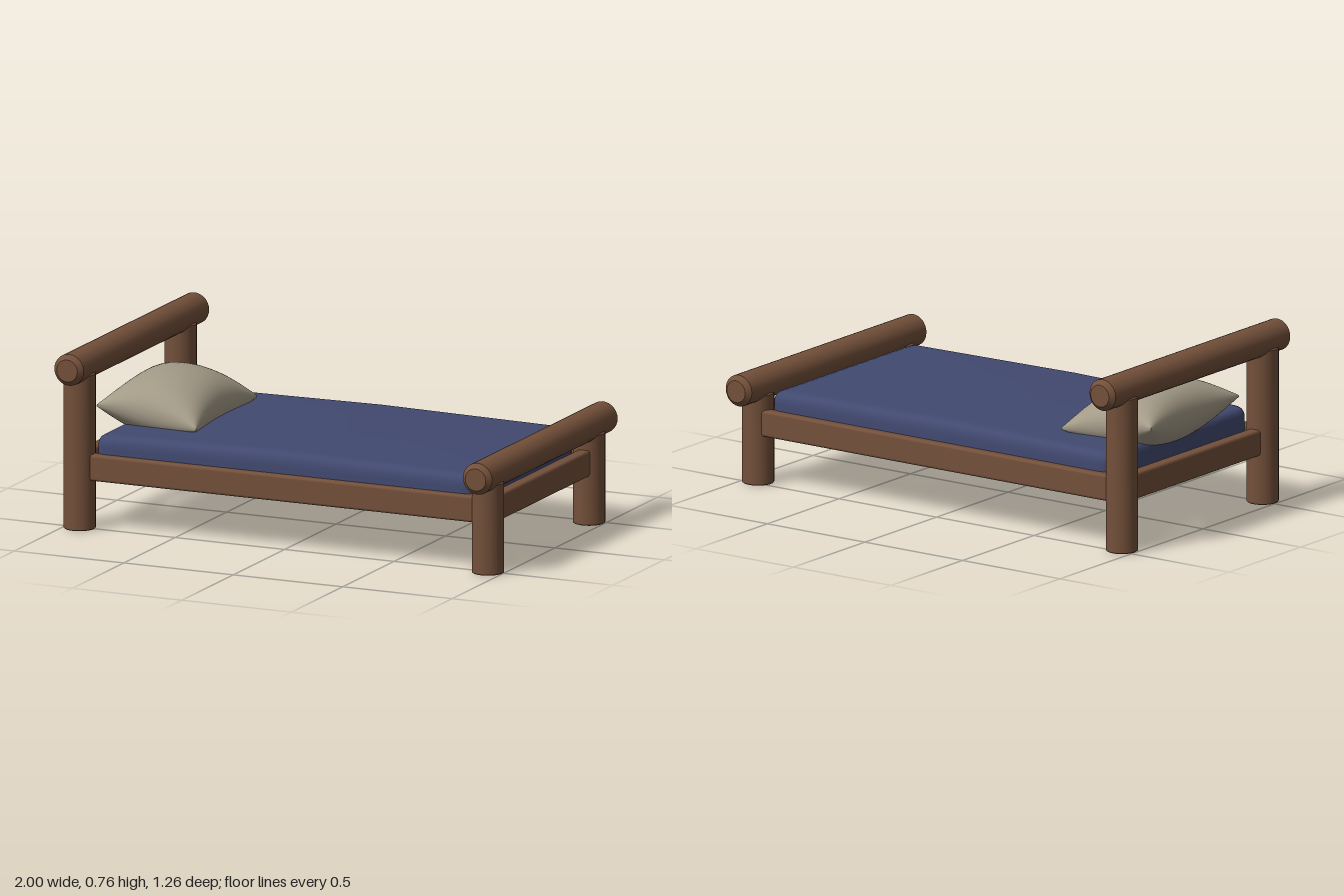
import * as THREE from 'three';
import { mergeVertices, toCreasedNormals } from 'three/addons/utils/BufferGeometryUtils.js';
import { RoundedBoxGeometry } from 'three/addons/geometries/RoundedBoxGeometry.js';

const LOG_R = 0.067;

function material(name, color) {
  const m = new THREE.MeshStandardMaterial({ color });
  m.name = name;
  return m;
}

// Round log along y with chamfered ends, centred on the origin
function logGeometry(length, bevelBottom, bevelTop) {
  const h = length / 2;
  const profile = [
    [0, -h], [LOG_R - bevelBottom, -h], [LOG_R, -h + bevelBottom],
    [LOG_R, h - bevelTop], [LOG_R - bevelTop, h], [0, h],
  ].map(([r, y]) => new THREE.Vector2(r, y));
  return toCreasedNormals(new THREE.LatheGeometry(profile, 28), 0.6);
}

// Merge the seams of a reshaped geometry and smooth it
function smooth(geometry) {
  geometry.deleteAttribute('uv');
  geometry.deleteAttribute('normal');
  const merged = mergeVertices(geometry, 1e-4);
  merged.computeVertexNormals();
  return merged;
}

// Soft-edged slab with a gently crowned top
function mattressGeometry(w, h, d, r) {
  const g = new THREE.BoxGeometry(2, 2, 2, 28, 12, 24);
  const half = new THREE.Vector3(w / 2, h / 2, d / 2);
  const inner = half.clone().subScalar(r);
  const low = inner.clone().negate();
  const p = new THREE.Vector3(), q = new THREE.Vector3();
  const ease = (t) => Math.sin((t * Math.PI) / 2);
  const pos = g.attributes.position;
  for (let i = 0; i < pos.count; i++) {
    p.fromBufferAttribute(pos, i);
    p.set(ease(p.x), ease(p.y), ease(p.z)).multiply(half);
    q.copy(p).clamp(low, inner);
    p.sub(q).setLength(r).add(q);
    if (p.y > 0) {
      p.y += 0.016 * (p.y / half.y) * (1 - Math.abs(p.x) / half.x) * (1 - 0.4 * (p.z / half.z) ** 2);
    }
    pos.setXYZ(i, p.x, p.y, p.z);
  }
  return smooth(g);
}

// Puffed cushion whose sides pull in between pointed corners
function pillowGeometry(halfX, halfZ, puff) {
  const g = new THREE.BoxGeometry(2, 2, 2, 28, 1, 36);
  const pos = g.attributes.position;
  const ease = (t) => Math.sin((t * Math.PI) / 2);
  for (let i = 0; i < pos.count; i++) {
    const u = ease(pos.getX(i)), v = ease(pos.getZ(i));
    const fill = Math.sqrt(Math.max(0, (1 - u * u) * (1 - v * v)));
    const x = u * halfX * (1 - 0.1 * (1 - v * v) * u * u);
    const z = v * halfZ * (1 - 0.08 * (1 - u * u) * v * v);
    pos.setXYZ(i, x, Math.sign(pos.getY(i)) * (0.004 + puff * fill), z);
  }
  return smooth(g);
}

export function createModel() {
  const group = new THREE.Group();
  const wood = material('brown wood', 0x73503a);
  const blue = material('navy fabric', 0x414970);
  const linen = material('beige linen', 0xa39a87);

  const add = (name, geometry, mat, x, y, z) => {
    const mesh = new THREE.Mesh(geometry, mat);
    mesh.name = name;
    mesh.position.set(x, y, z);
    group.add(mesh);
    return mesh;
  };

  // Head and foot: a cross log on two posts, with a board between the posts
  const ends = [
    { name: 'head', x: -0.933, logY: 0.692, side: -1 },
    { name: 'foot', x: 0.933, logY: 0.418, side: 1 },
  ];
  for (const { name, x, logY, side } of ends) {
    add(name + 'Log', logGeometry(1.26, 0.02, 0.02), wood, x, logY, 0).rotation.x = Math.PI / 2;
    const postH = logY - 0.015;
    for (const [sideName, z] of [['Front', 0.508], ['Back', -0.475]]) {
      add(name + sideName + 'Post', logGeometry(postH, 0.003, 0.02), wood, x, postH / 2, z);
    }
    add(name + 'Board', new RoundedBoxGeometry(0.055, 0.112, 0.95, 2, 0.012), wood,
      x + side * 0.004, 0.265, 0.016);
  }

  // Long side boards
  for (const [name, z] of [['frontSideBoard', 0.509], ['backSideBoard', -0.493]]) {
    add(name, new RoundedBoxGeometry(1.84, 0.112, 0.052, 2, 0.012), wood, 0, 0.265, z);
  }

  // Bedding
  add('mattress', mattressGeometry(1.73, 0.15, 0.99, 0.045), blue, 0, 0.326, 0.01);
  const pillow = add('pillow', pillowGeometry(0.225, 0.325, 0.137), linen, -0.722, 0.453, 0.01);
  pillow.rotation.set(0, 0.04, -0.14);

  return group;
}
